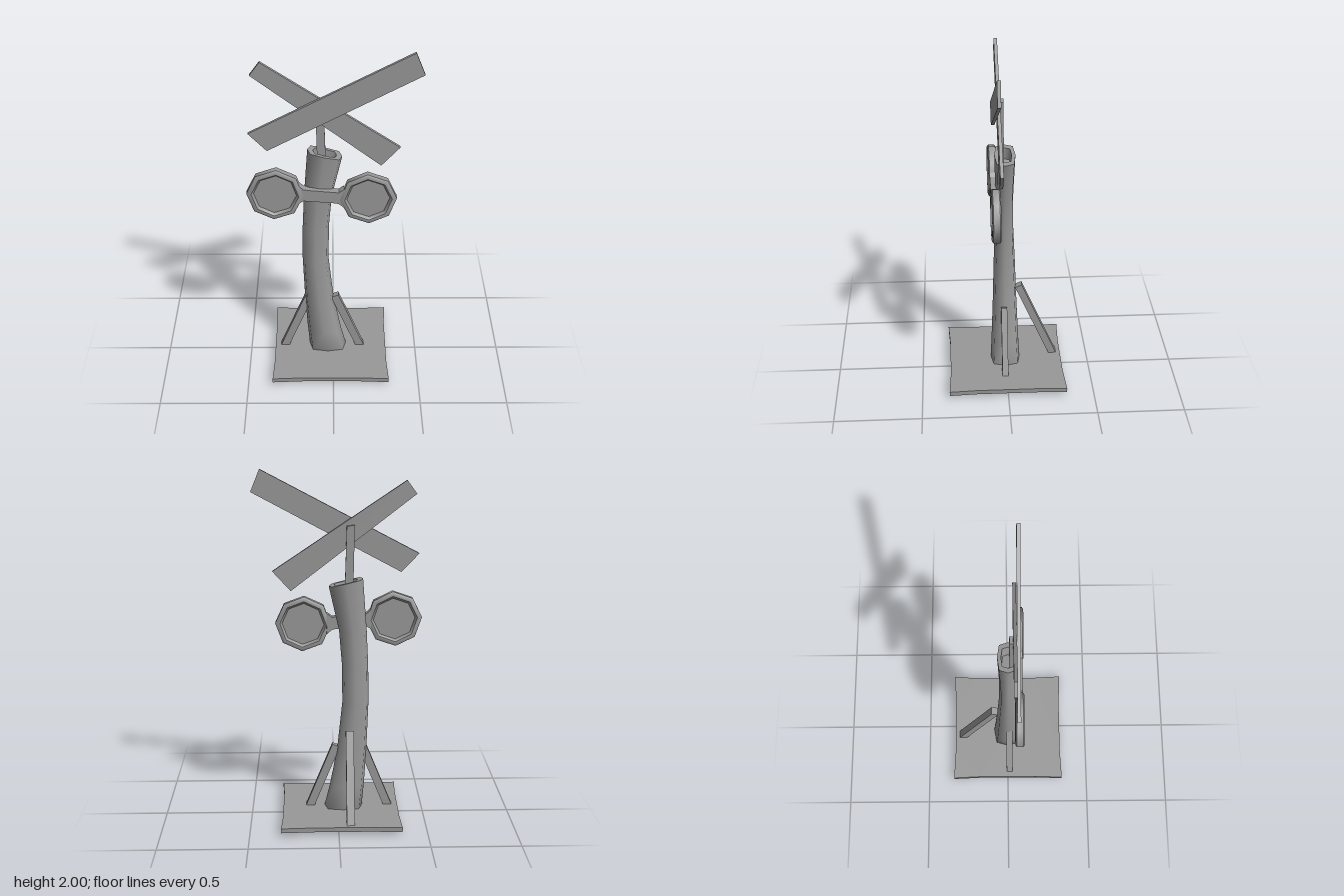
import * as THREE from 'three';
import { toCreasedNormals } from 'three/addons/utils/BufferGeometryUtils.js';

const material = new THREE.MeshStandardMaterial({ color: 0x999999 });

function part(group, name, geometry) {
  const mesh = new THREE.Mesh(geometry, material);
  mesh.name = name;
  group.add(mesh);
}

// Flat panel from an outline in x, y, spanning z0 to z1
function panel(points, z0, z1) {
  const shape = new THREE.Shape(points.map(([x, y]) => new THREE.Vector2(x, y)));
  return new THREE.ExtrudeGeometry(shape, { depth: z1 - z0, bevelEnabled: false }).translate(0, 0, z0);
}

// Skin over tilted, eight-cornered rounded-square rings: [cx, cy, cz, rx, rz, slope]
const SECTION = [[1, 0], [0.82, 0.82], [0, 1], [-0.82, 0.82], [-1, 0], [-0.82, -0.82], [0, -1], [0.82, -0.82]];

function loft(rings) {
  const position = [], index = [];
  const sides = SECTION.length;
  rings.forEach(([cx, cy, cz, rx, rz, slope], j) => {
    SECTION.forEach(([u, v], i) => {
      const dx = rx * u;
      position.push(cx + dx, cy + slope * dx, cz + rz * v);
      if (j === rings.length - 1) return;
      const p = j * sides + i, q = j * sides + ((i + 1) % sides);
      if (rx > 0) index.push(p, p + sides, q);
      if (rings[j + 1][3] > 0) index.push(q, p + sides, q + sides);
    });
  });
  const geometry = new THREE.BufferGeometry();
  geometry.setAttribute('position', new THREE.Float32BufferAttribute(position, 3));
  geometry.setIndex(index);
  return toCreasedNormals(geometry, 1.25);
}

// Square-cut strut between two points
function strut(from, to, width, depth) {
  const a = new THREE.Vector3(...from), b = new THREE.Vector3(...to);
  const dir = b.clone().sub(a);
  const geometry = new THREE.BoxGeometry(width, dir.length(), depth);
  const turn = new THREE.Quaternion().setFromUnitVectors(new THREE.Vector3(0, 1, 0), dir.normalize());
  const mid = a.add(b).multiplyScalar(0.5);
  return geometry.applyQuaternion(turn).translate(mid.x, mid.y, mid.z);
}

// Eight-sided lamp: bevelled rim around a recessed disc
function lamp(name, x, y, tilt) {
  const group = new THREE.Group();
  group.name = name;
  const profile = [
    [0.119, -0.01], [0.132, -0.025], [0.147, -0.025], [0.158, -0.018],
    [0.158, 0.018], [0.147, 0.025], [0.132, 0.025], [0.119, 0.01], [0.119, -0.01],
  ].map(([r, h]) => new THREE.Vector2(r, h));
  const rim = new THREE.LatheGeometry(profile, 8).rotateX(Math.PI / 2);
  part(group, 'lampRim', toCreasedNormals(rim, 0.85));
  const disc = new THREE.CylinderGeometry(0.125, 0.125, 0.02, 8).rotateX(Math.PI / 2);
  part(group, 'lampDisc', toCreasedNormals(disc, 0.5));
  group.position.set(x, y, 0.064);
  group.rotation.z = tilt;
  return group;
}

export function createModel() {
  const model = new THREE.Group();
  model.name = 'crossingSignal';

  // Base plate with slightly drawn-in edges
  const plate = panel([
    [-0.357, -0.342], [-0.18, -0.333], [0.14, -0.333], [0.324, -0.342],
    [0.316, -0.18], [0.316, 0.18], [0.324, 0.342], [0.14, 0.333],
    [-0.18, 0.333], [-0.357, 0.342], [-0.35, 0.18], [-0.35, -0.18],
  ], 0.02, 0.046).rotateX(-Math.PI / 2);
  part(model, 'basePlate', plate);

  // Bent post, ending in a hollow slanted top
  part(model, 'post', loft([
    [-0.02, 0.008, 0.002, 0, 0, -0.08],
    [-0.02, 0.008, 0.002, 0.096, 0.078, -0.08],
    [-0.03, 0.028, 0.002, 0.112, 0.088, -0.08],
    [-0.055, 0.18, 0.002, 0.1, 0.08, -0.12],
    [-0.083, 0.4, 0.002, 0.085, 0.071, -0.09],
    [-0.103, 0.68, 0.003, 0.075, 0.062, -0.03],
    [-0.1, 0.9, 0.004, 0.075, 0.053, 0.06],
    [-0.087, 1.1, 0.003, 0.078, 0.05, -0.02],
    [-0.047, 1.378, 0.002, 0.096, 0.059, -0.23],
    [-0.047, 1.378, 0.002, 0.066, 0.038, -0.23],
    [-0.06, 1.31, 0.002, 0.06, 0.035, -0.2],
    [-0.06, 1.31, 0.002, 0, 0, -0.2],
  ]));

  // Three leaning braces
  part(model, 'rightBrace', strut([-0.296, 0.035, 0.01], [-0.14, 0.42, 0.01], 0.046, 0.035));
  part(model, 'leftBrace', strut([0.163, 0.035, 0.01], [0.008, 0.415, 0.01], 0.046, 0.035));
  part(model, 'backBrace', strut([-0.068, 0.035, -0.29], [-0.068, 0.525, -0.078], 0.045, 0.042));

  // Crossed boards and the stick that holds them
  part(model, 'frontBoard', panel([[-0.46, 1.53], [-0.36, 1.425], [0.479, 1.875], [0.428, 2]], 0.047, 0.066));
  part(model, 'rearBoard', panel([[-0.44, 1.865], [-0.385, 1.94], [0.364, 1.435], [0.262, 1.322]], 0.028, 0.047));
  part(model, 'signStick', panel([[-0.088, 1.29], [-0.04, 1.29], [-0.052, 1.69], [-0.096, 1.695]], 0.008, 0.03));

  // Lamps and the waisted arm between them
  part(model, 'lampArm', panel([
    [-0.19, 1.1], [-0.165, 1.115], [-0.14, 1.113], [0.01, 1.1], [0.03, 1.095], [0.06, 1.07],
    [0.06, 1.19], [0.03, 1.168], [0.01, 1.17], [-0.14, 1.184], [-0.165, 1.188], [-0.19, 1.21],
  ], 0.036, 0.082));
  model.add(lamp('rightLamp', -0.323, 1.154, -0.06));
  model.add(lamp('leftLamp', 0.194, 1.126, 0.04));

  return model;
}
